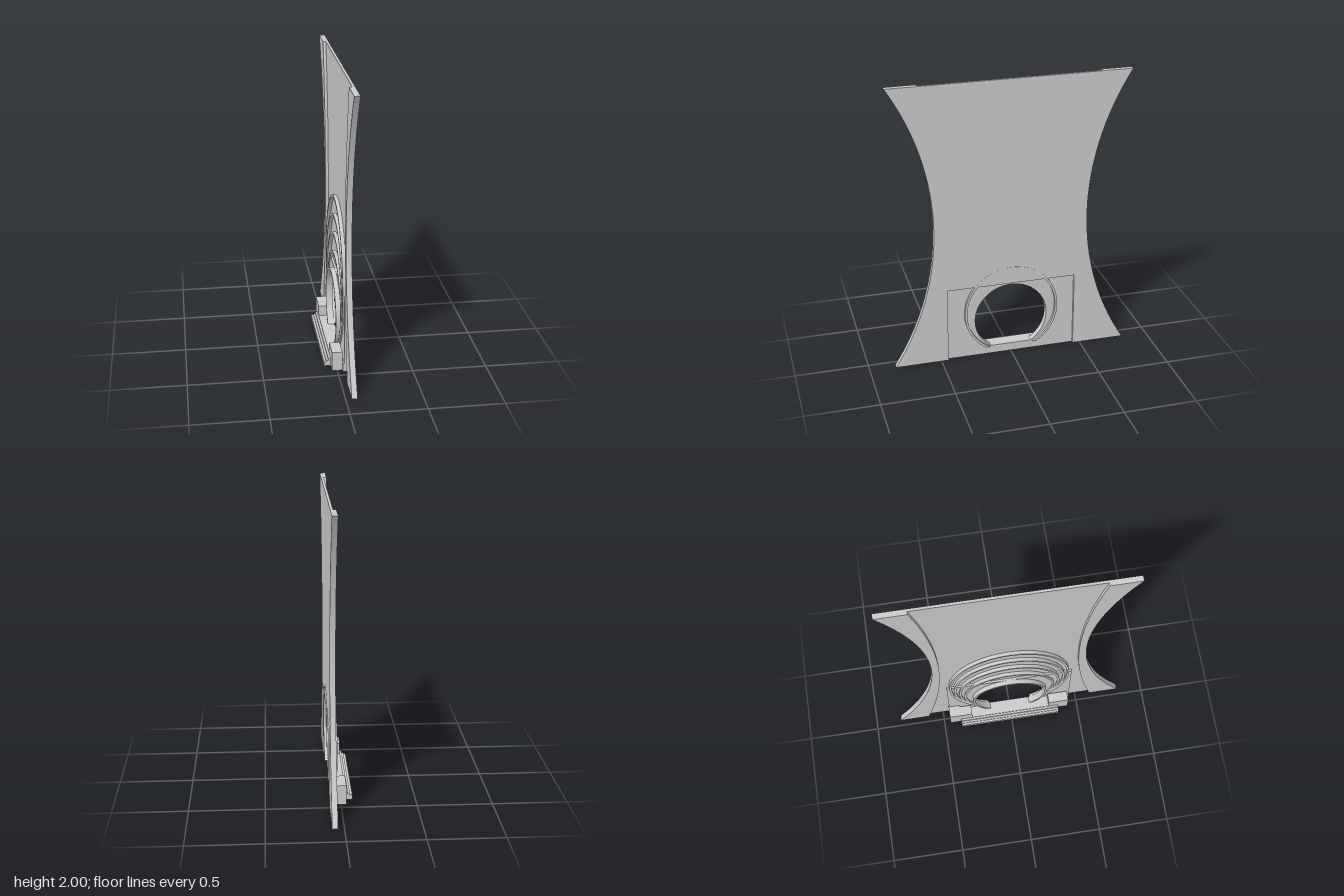
import * as THREE from 'three';

const material = new THREE.MeshStandardMaterial({ color: 0xcccccc, side: THREE.DoubleSide });
const FLOOR = 0.06; // top of the sill, where the arches end

export function createModel() {
  const group = new THREE.Group();

  const add = (name, geometry) => {
    const mesh = new THREE.Mesh(geometry, material);
    mesh.name = name;
    group.add(mesh);
    return mesh;
  };

  // Extrudes a (z, y) outline between two x positions
  const slab = (name, points, x0, x1) => {
    const shape = new THREE.Shape(points.map(([z, y]) => new THREE.Vector2(-z, y)));
    const g = new THREE.ExtrudeGeometry(shape, { depth: x1 - x0, bevelEnabled: false });
    g.rotateY(Math.PI / 2).translate(x0, 0, 0);
    return add(name, g);
  };

  const box = (name, x0, x1, y0, y1, z0, z1) => {
    const g = new THREE.BoxGeometry(x1 - x0, y1 - y0, z1 - z0);
    g.translate((x0 + x1) / 2, (y0 + y1) / 2, (z0 + z1) / 2);
    return add(name, g);
  };

  // Concave side curve, from the bottom corner to the top corner
  const sideCurve = (end, waist, sign, n = 40) => {
    const sag = end - waist;
    const r = (1 + sag * sag) / (2 * sag);
    return Array.from({ length: n + 1 }, (_, i) => {
      const y = (2 * i) / n;
      return [sign * (waist + r - Math.sqrt(r * r - (y - 1) ** 2)), y];
    });
  };

  // Elliptical arc that starts and ends on the sill
  const arch = (rz, ry, cy, n = 64) => {
    const a0 = Math.asin((FLOOR - cy) / ry);
    return Array.from({ length: n + 1 }, (_, i) => {
      const a = a0 + ((Math.PI - 2 * a0) * i) / n;
      return [rz * Math.cos(a), cy + ry * Math.sin(a)];
    });
  };
  const archBand = (name, rz, ry, cy, width, x0, x1) =>
    slab(name, [...arch(rz, ry, cy), ...arch(rz - width, ry - width, cy).reverse()], x0, x1);

  // Thin panel with a rectangular notch at the foot
  slab('panel', [
    [0.45, 0], ...sideCurve(0.82, 0.53, 1), ...sideCurve(0.82, 0.53, -1).reverse(),
    [-0.45, 0], [-0.45, 0.54], [0.45, 0.54],
  ], 0.06, 0.078);

  // Thick curved borders on the inner face
  for (const s of [1, -1]) {
    slab('sideBorder', [...sideCurve(0.82, 0.53, s), ...sideCurve(0.61, 0.48, s).reverse()], 0.04, 0.06);
  }

  // Recessed plate around the round opening
  slab('doorPlate', [
    [0.45, FLOOR], [0.45, 0.54], [-0.45, 0.54], [-0.45, FLOOR],
    ...arch(0.255, 0.255, 0.268).reverse(),
  ], 0.045, 0.0605);

  // Raised rim and nested arches, all springing from the sill
  archBand('openingRim', 0.27, 0.27, 0.27, 0.015, 0.013, 0.06);
  [[0.33, 0.33], [0.365, 0.4], [0.4, 0.468], [0.43, 0.535]].forEach(([rz, ry], i) => {
    archBand('archMoulding', rz, ry, ry + 0.003, 0.016, 0.035, i === 0 ? 0.079 : 0.0602);
  });

  // Sill, steps and end blocks
  box('sill', -0.035, 0.06, 0, FLOOR, -0.45, 0.43);
  box('sillEnd', 0.035, 0.06, 0, FLOOR, 0.43, 0.45);
  [[-0.08, 0.03], [-0.065, 0.038], [-0.05, 0.052]].forEach(([x, h]) => {
    box('step', x, -0.035, 0, h, -0.375, 0.355);
  });
  box('endBlock', -0.035, 0.035, 0, 0.135, 0.285, 0.43);
  box('endBlock', -0.035, 0.06, 0, 0.135, -0.455, -0.375);
  box('endBlock', -0.035, 0.035, 0, 0.135, -0.375, -0.29);

  return group;
}
